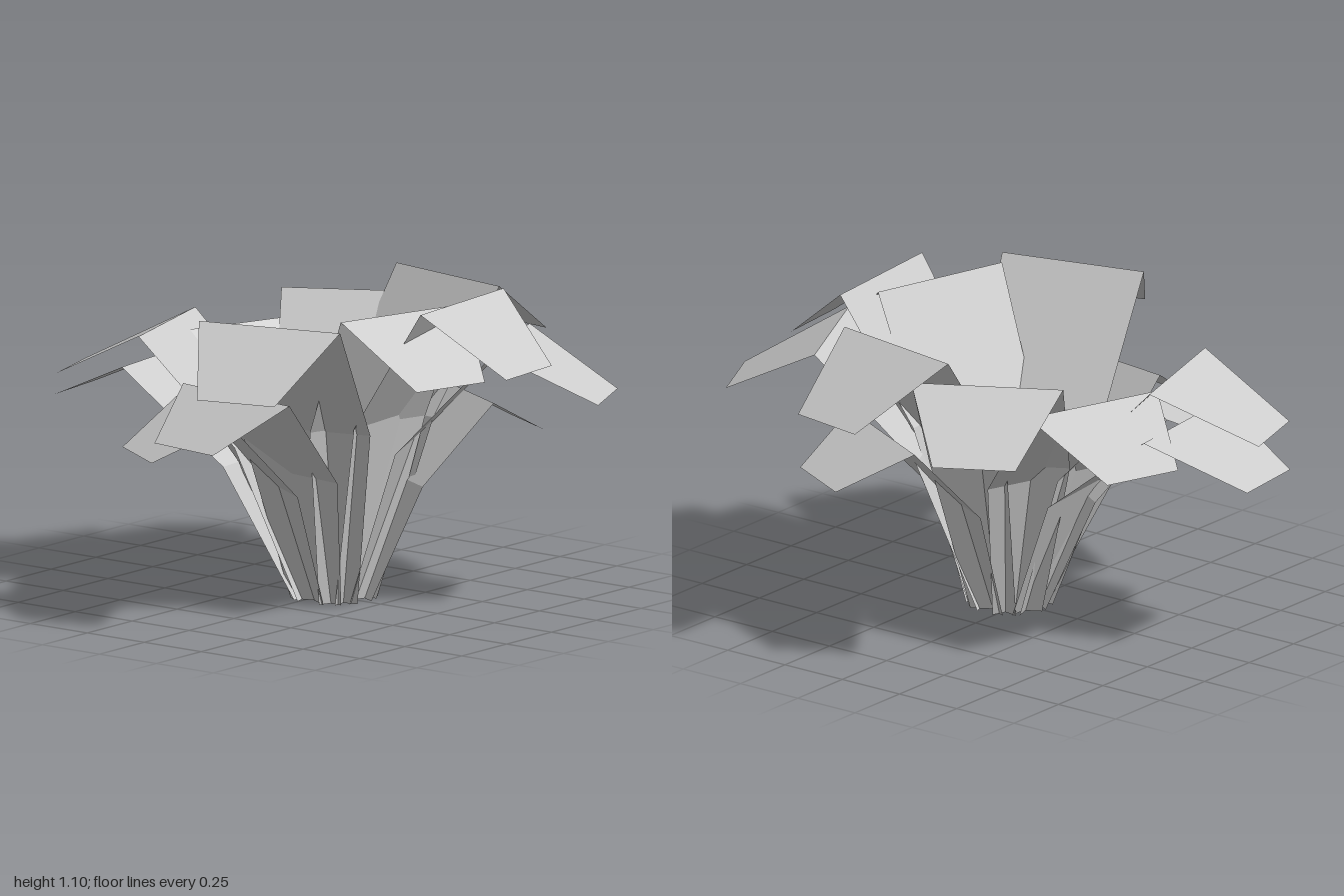
import * as THREE from 'three';

// One folded leaf, built as a strip of trapezoids growing outward along +z
function leafGeometry(height, ridgeR, tipR) {
  const baseR = 0.085;
  const rows = [ // distance out, height, width
    [baseR, 0, 0.25],
    [baseR + 0.35 * (ridgeR - baseR), 0.6 * height, 0.49],
    [ridgeR, height, 0.53],
    [tipR, 0.8 * height, 0.29],
  ];
  const pos = [], index = [];
  rows.forEach(([r, y, w], i) => {
    pos.push(-w / 2, y, r, w / 2, y, r);
    if (i > 0) {
      const a = 2 * (i - 1);
      index.push(a, a + 1, a + 3, a, a + 3, a + 2);
    }
  });
  const indexed = new THREE.BufferGeometry();
  indexed.setAttribute('position', new THREE.Float32BufferAttribute(pos, 3));
  indexed.setIndex(index);
  const geo = indexed.toNonIndexed();
  geo.computeVertexNormals();
  return geo;
}

export function createModel() {
  const model = new THREE.Group();
  model.name = 'leafyPlant';
  const leafGrey = new THREE.MeshStandardMaterial({
    color: 0xcccccc, side: THREE.DoubleSide, flatShading: true,
  });
  leafGrey.name = 'leafGrey';

  // Heading in degrees from the front, ridge height, ridge reach, tip reach
  const leaves = [
    [5.5, 1.10, 0.525, 0.80],
    [24.7, 0.94, 0.63, 0.972],
    [62.8, 0.69, 0.485, 0.73],
    [80.3, 1.06, 0.53, 0.857],
    [119.5, 0.97, 0.535, 0.856],
    [160.5, 0.875, 0.53, 0.85],
    [-173, 0.78, 0.695, 1.04],
    [-163.5, 0.92, 0.62, 0.979],
    [-121.5, 0.69, 0.48, 0.724],
    [-98, 0.78, 0.466, 0.718],
    [-75, 1.06, 0.563, 0.859],
    [-16, 1.07, 0.408, 0.69],
  ];
  leaves.forEach(([deg, height, ridgeR, tipR], i) => {
    const leaf = new THREE.Mesh(leafGeometry(height, ridgeR, tipR), leafGrey);
    leaf.name = `leaf${i + 1}`;
    leaf.rotation.y = THREE.MathUtils.degToRad(deg);
    leaf.position.z = 0.045; // the root sits slightly forward of centre
    model.add(leaf);
  });
  return model;
}
